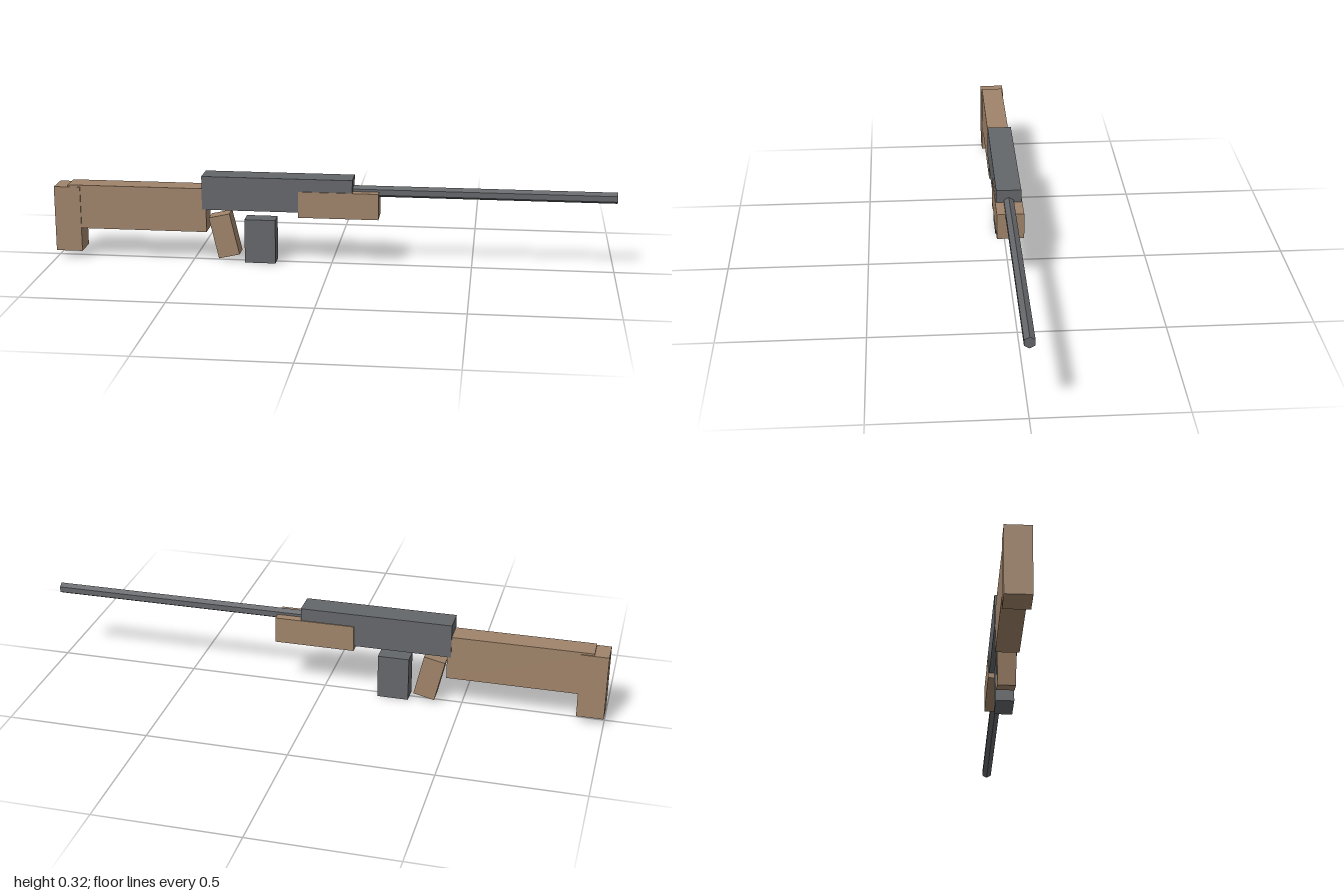
import * as THREE from 'three';

export function createModel() {
  const model = new THREE.Group();
  const wood = new THREE.MeshStandardMaterial({ color: 0xa0846a });
  wood.name = 'tan wood';
  const metal = new THREE.MeshStandardMaterial({ color: 0x64676a });
  metal.name = 'grey metal';

  const add = (name, geometry, material, x, y) => {
    const mesh = new THREE.Mesh(geometry, material);
    mesh.name = name;
    mesh.position.set(x, y, 0);
    model.add(mesh);
    return mesh;
  };
  // Box given by its x range, y range and full width in z
  const block = (name, material, x0, x1, y0, y1, width) =>
    add(name, new THREE.BoxGeometry(x1 - x0, y1 - y0, width), material, (x0 + x1) / 2, (y0 + y1) / 2);

  // Wooden furniture
  block('stock', wood, -0.95, -0.447, 0.112, 0.272, 0.08);
  block('buttPlate', wood, -1, -0.905, 0.027, 0.265, 0.088);
  block('handguard', wood, -0.115, 0.17, 0.178, 0.272, 0.095);

  // Grip, its foot swung forward
  const grip = add('grip', new THREE.BoxGeometry(0.077, 0.154, 0.062), wood, -0.385, 0.096);
  grip.rotation.z = 0.227;

  // Metal body and magazine
  block('receiver', metal, -0.461, 0.077, 0.196, 0.318, 0.088);
  block('magazine', metal, -0.311, -0.2, 0, 0.16, 0.062);

  // Six-sided barrel with an edge on top
  const tube = new THREE.CylinderGeometry(0.02, 0.02, 0.95, 6, 1, false, Math.PI / 2)
    .toNonIndexed();
  tube.computeVertexNormals();
  const barrel = add('barrel', tube, metal, 0.525, 0.271);
  barrel.rotation.z = -Math.PI / 2;

  return model;
}
